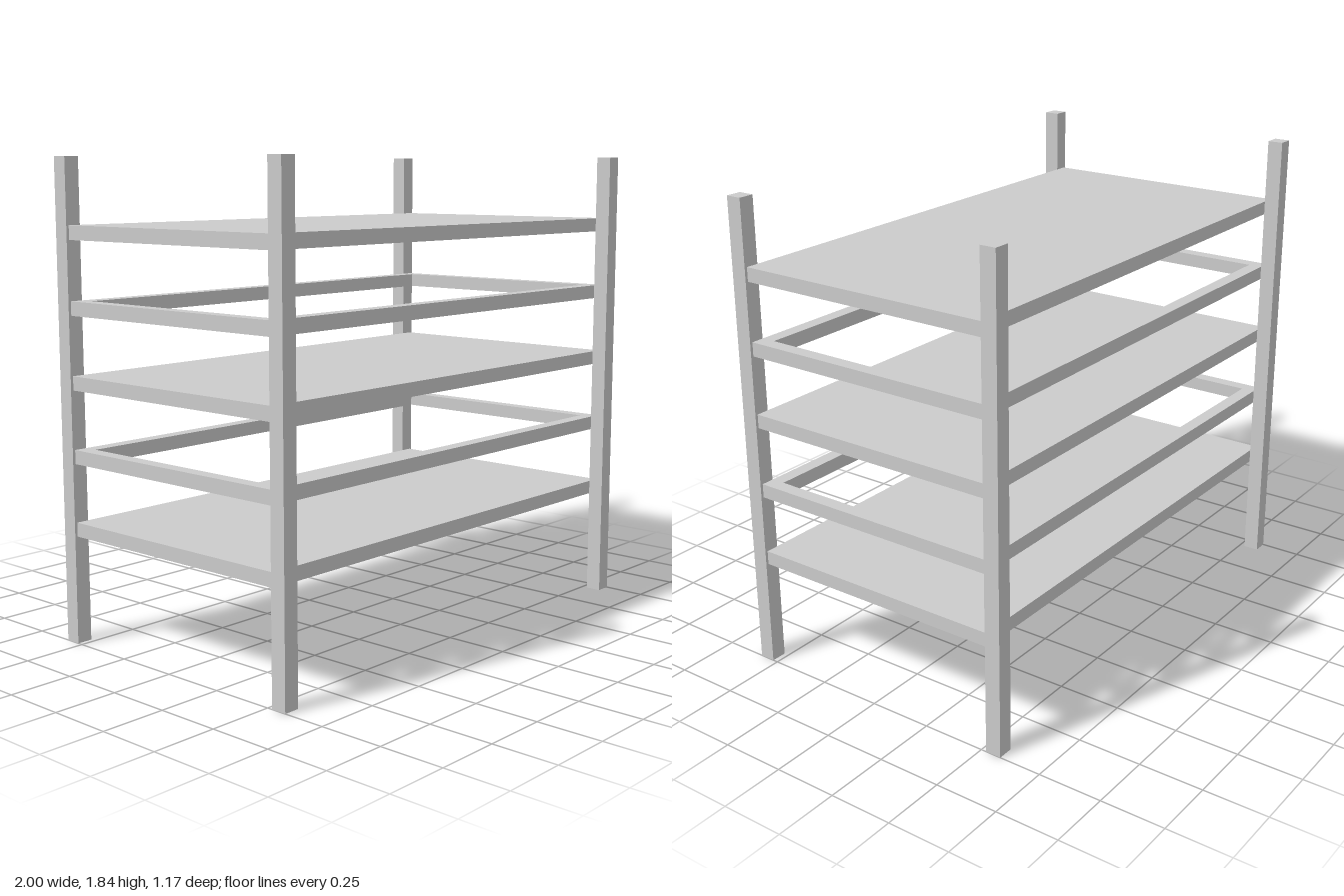
import * as THREE from 'three';

const material = new THREE.MeshStandardMaterial({ color: 0xcccccc });

const POST = { size: 0.062, height: 1.843, x: 0.969, z: 0.552 };
const TIER = { width: 1.978, depth: 1.042, thickness: 0.054, rail: 0.054 };
const FIRST_TIER = 0.418; // underside of the lowest tier
const TIER_STEP = 0.28;

function rectangle(PathType, width, depth) {
  const x = width / 2, y = depth / 2;
  const path = new PathType();
  path.moveTo(-x, -y);
  path.lineTo(x, -y);
  path.lineTo(x, y);
  path.lineTo(-x, y);
  path.closePath();
  return path;
}

// Flat tier lying on y = 0; an open tier is only a rim of rails
function tierGeometry(open) {
  const outline = rectangle(THREE.Shape, TIER.width, TIER.depth);
  if (open) {
    outline.holes.push(rectangle(THREE.Path, TIER.width - 2 * TIER.rail, TIER.depth - 2 * TIER.rail));
  }
  const geometry = new THREE.ExtrudeGeometry(outline, { depth: TIER.thickness, bevelEnabled: false });
  return geometry.rotateX(-Math.PI / 2);
}

export function createModel() {
  const rack = new THREE.Group();
  rack.name = 'shelfRack';

  // Four corner posts
  const postGeometry = new THREE.BoxGeometry(POST.size, POST.height, POST.size);
  for (const [side, sx] of [['Left', 1], ['Right', -1]]) {
    for (const [end, sz] of [['front', 1], ['back', -1]]) {
      const post = new THREE.Mesh(postGeometry, material);
      post.name = `${end}${side}Post`;
      post.position.set(sx * POST.x, POST.height / 2, sz * POST.z);
      rack.add(post);
    }
  }

  // Solid shelves alternate with open rail frames
  const shelfGeometry = tierGeometry(false);
  const frameGeometry = tierGeometry(true);
  for (let i = 0; i < 5; i++) {
    const open = i % 2 === 1;
    const tier = new THREE.Mesh(open ? frameGeometry : shelfGeometry, material);
    tier.name = `${open ? 'railFrame' : 'shelf'}${Math.floor(i / 2) + 1}`;
    tier.position.y = FIRST_TIER + i * TIER_STEP;
    rack.add(tier);
  }

  return rack;
}
